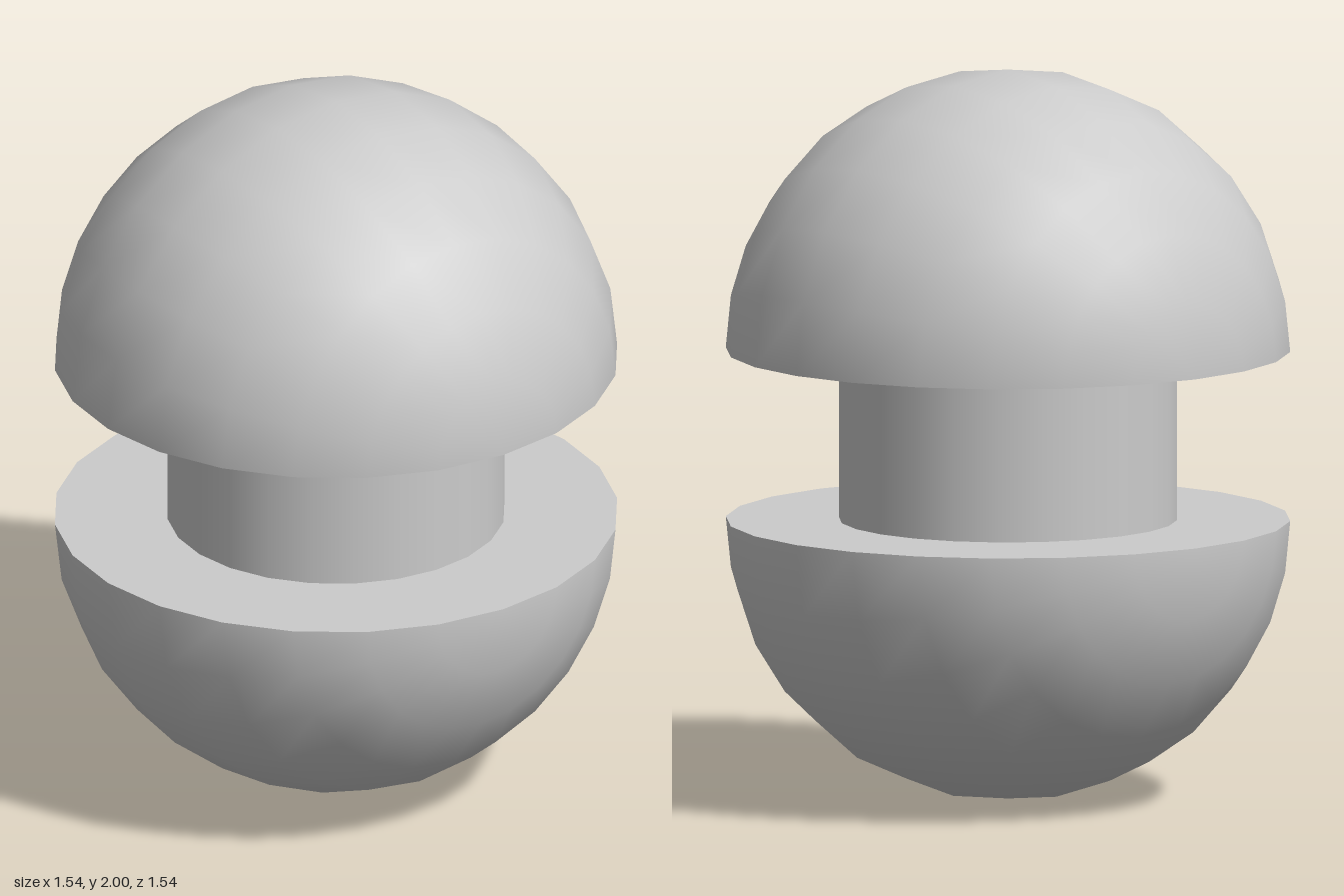
import * as THREE from 'three';

const R = 0.768;          // dome radius
const NECK_R = 0.46;      // neck radius
const GAP = 2 - 2 * R;    // neck height between the domes

export function createModel() {
  const group = new THREE.Group();
  const material = new THREE.MeshStandardMaterial({ color: 0xcccccc });

  const add = (name, geometry, y, parent = group) => {
    const mesh = new THREE.Mesh(geometry, material);
    mesh.name = name;
    mesh.position.y = y;
    parent.add(mesh);
  };

  // Half sphere with its poles on the z axis, closed by a flat disc; dir +1 bulges up, -1 down
  const addHalf = (name, dir, y) => {
    const half = new THREE.Group();
    half.name = name;
    half.position.y = y;
    const dome = new THREE.SphereGeometry(R, 12, 12, 0, Math.PI).rotateX(-dir * Math.PI / 2);
    const face = new THREE.CircleGeometry(R, 24).rotateX(dir * Math.PI / 2);
    add(name + 'Dome', dome, 0, half);
    add(name + 'FlatFace', face, 0, half);
    group.add(half);
  };

  addHalf('lower', -1, R);
  addHalf('upper', 1, R + GAP);

  // Neck joining the two halves
  add('neck', new THREE.CylinderGeometry(NECK_R, NECK_R, GAP, 24, 1, true), 1);

  return group;
}
